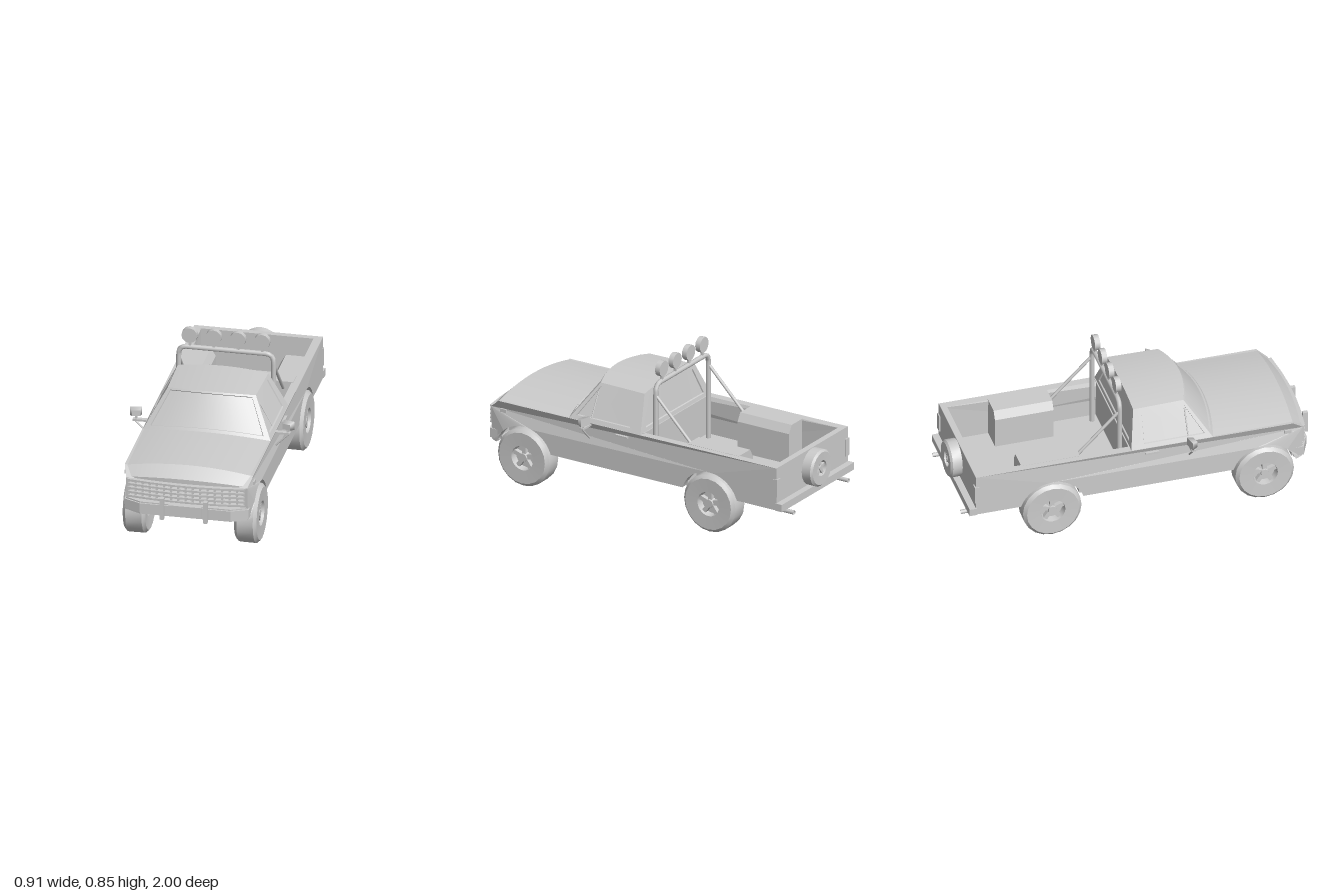
import * as THREE from 'three';
import { toCreasedNormals } from 'three/addons/utils/BufferGeometryUtils.js';

const mat = new THREE.MeshStandardMaterial({ color: 0xcccccc, side: THREE.DoubleSide });
const lerp = THREE.MathUtils.lerp;
const V = (x, y, z) => new THREE.Vector3(x, y, z);
const steps = (a, b, n) => Array.from({ length: n + 1 }, (_, i) => lerp(a, b, i / n));

export function createModel() {
  const model = new THREE.Group();

  const add = (name, geo, parent = model) => {
    const m = new THREE.Mesh(geo, mat);
    m.name = name;
    parent.add(m);
    return m;
  };
  // Box given by its limits on each axis
  const box = (name, x0, x1, y0, y1, z0, z1) =>
    add(name, new THREE.BoxGeometry(Math.abs(x1 - x0), y1 - y0, z1 - z0)
      .translate((x0 + x1) / 2, (y0 + y1) / 2, (z0 + z1) / 2));
  const rod = (name, pts, r) => {
    const path = new THREE.CurvePath();
    for (let i = 1; i < pts.length; i++) path.add(new THREE.LineCurve3(pts[i - 1], pts[i]));
    return add(name, new THREE.TubeGeometry(path, 8 * (pts.length - 1), r, 8));
  };
  // Surface from a rule fn(u, v) sampled at the given stops
  const patch = (name, fn, us, vs) => {
    const pos = [], idx = [], n = us.length;
    for (const v of vs) for (const u of us) pos.push(...fn(u, v));
    for (let j = 0; j < vs.length - 1; j++) for (let i = 0; i < n - 1; i++) {
      const a = j * n + i, b = a + n;
      idx.push(a, a + 1, b, a + 1, b + 1, b);
    }
    const g = new THREE.BufferGeometry();
    g.setAttribute('position', new THREE.Float32BufferAttribute(pos, 3));
    g.setIndex(idx);
    return add(name, toCreasedNormals(g, 0.3));
  };
  // Cab panel with a sunken window; fn(u, v, depth)
  const windowed = (name, fn, n, u0, u1, v0, v1) => {
    const e = 0.012, us = [-1, u0, ...steps(u0 + e, u1 - e, n), u1, 1], vs = [0, v0, v0 + e, v1 - e, v1, 1];
    patch(name, (u, v) => fn(u, v, u > u0 && u < u1 && v > v0 && v < v1 ? 0.007 : 0), us, vs);
  };
  // Plan outline (x, z) raised from y0 to y1
  const plan = (name, pts, y0, y1) => add(name,
    new THREE.ExtrudeGeometry(new THREE.Shape(pts.map(p => new THREE.Vector2(...p))),
      { depth: y1 - y0, bevelEnabled: false }).rotateX(Math.PI / 2).translate(0, y1, 0));

  // Body sides with wheel arches, tapering in at the nose
  const AXLES = [-0.505, 0.69];
  const side = new THREE.Shape();
  side.moveTo(-0.93, 0.465);
  side.lineTo(-0.93, 0.22);
  for (const z of AXLES) side.absarc(z, 0.16, 0.185, Math.PI - 0.33, 0.33, true);
  [[0.9, 0.22], [0.91, 0.41], [0.85, 0.46]].forEach(p => side.lineTo(...p));
  const sideGeo = new THREE.ExtrudeGeometry(side, { depth: 0.045, bevelEnabled: false, curveSegments: 18 })
    .rotateY(-Math.PI / 2);
  for (const s of [1, -1]) {
    const g = sideGeo.clone().translate(s > 0 ? 0.355 : -0.31, 0, 0);
    const p = g.attributes.position;
    for (let i = 0; i < p.count; i++)
      if (p.getZ(i) > 0.88) p.setX(i, p.getX(i) - s * (p.getZ(i) - 0.84) * 0.3);
    g.computeVertexNormals();
    add('bodySide', g);
  }

  // Floor pan notched around the wheels
  const half = [[0.32, -0.92]];
  for (const z of AXLES) half.push([0.32, z - 0.16], [0.235, z - 0.16], [0.235, z + 0.16], [0.32, z + 0.16]);
  half.push([0.31, 0.9]);
  plan('floor', [...half, ...half.map(([x, z]) => [-x, z]).reverse()], 0.22, 0.245);

  // Cargo bed: tailgate, bulkhead, wheel wells level with the rails
  box('tailgate', -0.355, 0.355, 0.22, 0.465, -0.935, -0.9);
  box('bulkhead', -0.33, 0.33, 0.23, 0.465, -0.065, -0.045);
  for (const s of [1, -1]) {
    const well = [[0.32, 0.465], [0.207, 0.465], [0.18, 0.42], [0.18, 0.24], [0.235, 0.24], [0.235, 0.36], [0.32, 0.36]];
    add('wheelWell', new THREE.ExtrudeGeometry(
      new THREE.Shape(well.map(([x, y]) => new THREE.Vector2(s * x, y))),
      { depth: 0.33, bevelEnabled: false }).translate(0, 0, -0.67));
    for (const z of [-0.67, -0.345]) box('wheelWellEnd', s * 0.2, s * 0.32, 0.235, 0.365, z, z + 0.005);
    box('frontWheelLiner', s * 0.23, s * 0.235, 0.22, 0.45, 0.515, 0.865);
  }

  // Crowned hood rolling down into the nose: [half width, edge y, crown, z, bow]
  const hood = [[0.353, 0.46, 0.04, 0.38, 0], [0.353, 0.457, 0.037, 0.85, 0.012],
    [0.333, 0.412, 0.023, 0.9, 0.025], [0.333, 0.3, 0, 0.9, 0.025], [0.333, 0.22, 0, 0.89, 0.025]];
  patch('hoodAndNose', (u, v) => {
    const [w, y, c, z, b] = hood[v];
    const k = 1 - u * u;
    return [w * u, y + c * k, z + b * k];
  }, steps(-1, 1, 12), [0, 1, 2, 3, 4]);

  // Cab
  const screen = (u, v, d) => {
    const k = 1 - u * u;
    return [lerp(0.353, 0.243, v) * u, lerp(0.46 + 0.04 * k, 0.66 + 0.02 * k, v) - d / 2,
      lerp(0.4, 0.265, v) + 0.048 * k - d];
  };
  const back = (u, v, d) => [lerp(0.353, 0.25, v) * u, lerp(0.46, 0.66 + 0.02 * (1 - u * u), v),
    lerp(-0.06, -0.02, v) + d];
  windowed('windshield', screen, 12, -0.91, 0.91, 0.08, 0.95);
  windowed('cabBack', back, 12, -0.85, 0.85, 0.12, 0.88);
  patch('roof', (u, v) => {
    const k = 1 - u * u;
    return [lerp(0.243, 0.25, v) * u, 0.66 + 0.02 * k, lerp(0.265 + 0.048 * k, -0.02, v)];
  }, steps(-1, 1, 12), [0, 1]);
  for (const s of [1, -1]) {
    const door = (u, v, d) => {
      const t = (u + 1) / 2;
      return [s * (lerp(0.353, lerp(0.25, 0.243, t), v) - d), lerp(0.46, 0.66, v),
        lerp(lerp(-0.06, -0.02, v), lerp(0.4, 0.265, v), t)];
    };
    windowed('cabSide', door, 1, -0.68, 0.88, 0.12, 0.92);
    rod('windowDivider', [V(s * 0.335, 0.483, 0.265), V(s * 0.262, 0.62, 0.265)], 0.004);
    box('doorHandle', s * 0.35, s * 0.364, 0.425, 0.436, 0.02, 0.095);
    box('sideMarker', s * 0.35, s * 0.358, 0.4, 0.42, 0.8, 0.84);

    // Wing mirror on a braced arm
    box('mirrorArm', s * 0.35, s * 0.435, 0.447, 0.458, 0.255, 0.28);
    rod('mirrorBrace', [V(s * 0.353, 0.375, 0.267), V(s * 0.43, 0.452, 0.267)], 0.005);
    box('mirrorStem', s * 0.412, s * 0.424, 0.455, 0.475, 0.26, 0.272);
    const head = add('mirrorHead', new THREE.CylinderGeometry(0.032, 0.046, 0.035, 4, 1)
      .rotateY(Math.PI / 4).rotateX(Math.PI / 2).scale(1, 0.72, 1));
    head.position.set(s * 0.419, 0.494, 0.265);
    head.rotation.y = -s * 0.25;
  }

  // Grille following the bow of the nose
  const bow = x => 0.926 - 0.25 * x * x;
  const strip = [1, -1].flatMap(k => [-1, -0.6, -0.2, 0.2, 0.6, 1].map(t => {
    const x = k * t * 0.322;
    return [x, bow(x) + (k > 0 ? 0.026 : -0.01)];
  }));
  for (let i = 0; i < 5; i++) plan('grilleBar', strip, 0.308 + i * 0.0235, 0.316 + i * 0.0235);
  for (let i = -8; i <= 8; i++) {
    const x = i * 0.04;
    box('grilleUpright', x - 0.005, x + 0.005, 0.31, 0.408, bow(x) - 0.01, bow(x) + 0.02);
  }

  // Front bumper with plate and guards
  const edge = (o) => [[-0.337 - o, 0.86], [-0.335 - o, 0.905 + o], [-0.25, 0.947 + o], [0.25, 0.947 + o],
    [0.335 + o, 0.905 + o], [0.337 + o, 0.86]];
  plan('frontBumper', edge(0), 0.22, 0.292);
  plan('bumperStrip', edge(0.008), 0.232, 0.285);
  box('frontPlate', -0.092, 0.092, 0.23, 0.295, 0.94, 0.968);
  for (const x of [-0.12, 0.12]) {
    box('bumperGuard', x - 0.011, x + 0.011, 0.22, 0.345, 0.972, 1);
    box('guardBracket', x - 0.01, x + 0.01, 0.23, 0.285, 0.94, 0.975);
  }

  // Rear bumper, tail lights and exhausts
  box('rearBumper', -0.36, 0.36, 0.22, 0.262, -0.972, -0.93);
  for (const s of [1, -1]) {
    box('tailLight', s * 0.325, s * 0.36, 0.3, 0.4, -0.942, -0.915);
    rod('exhaust', [V(s * 0.2, 0.212, -0.77), V(s * 0.27, 0.192, -0.83), V(s * 0.27, 0.192, -0.995)], 0.012);
  }

  // Roll bar with struts and four lamps
  const bar = [];
  for (const s of [-1, 1]) {
    const c = [[0.262, 0.24], [0.262, 0.45], [0.262, 0.68], [0.259, 0.71], [0.248, 0.73], [0.225, 0.737]];
    bar.push(...(s < 0 ? c : c.reverse()).map(([x, y]) => V(s * x, y, -0.1)));
  }
  rod('rollBar', bar, 0.014);
  for (const s of [-1, 1]) rod('rollBarStrut', [V(s * 0.262, 0.675, -0.1), V(s * 0.262, 0.42, -0.35)], 0.009);
  for (const x of [-0.2, -0.067, 0.067, 0.2]) {
    box('lampStem', x - 0.007, x + 0.007, 0.74, 0.775, -0.107, -0.093);
    add('lamp', new THREE.CylinderGeometry(0.044, 0.044, 0.03, 12).rotateX(Math.PI / 2).translate(x, 0.81, -0.098));
  }

  // Wheels: tyre, dished rim, hub and five spokes, axis along x
  const wheel = (name) => {
    const g = new THREE.Group();
    g.name = name;
    const prof = [[0.064, -0.02], [0.07, -0.055], [0.147, -0.0625], [0.164, -0.045],
      [0.165, 0.045], [0.147, 0.0625], [0.07, 0.06], [0.064, 0.02]];
    const tyre = new THREE.LatheGeometry(prof.map(p => new THREE.Vector2(...p)), 20).rotateZ(-Math.PI / 2);
    add('tyre', toCreasedNormals(tyre, 0.45), g);
    add('rim', new THREE.CylinderGeometry(0.068, 0.068, 0.04, 20).rotateZ(Math.PI / 2), g);
    add('hub', new THREE.CylinderGeometry(0.022, 0.03, 0.035, 12).rotateZ(-Math.PI / 2).translate(0.035, 0, 0), g);
    for (let i = 0; i < 5; i++)
      add('spoke', new THREE.BoxGeometry(0.026, 0.05, 0.024).translate(0.032, 0.042, 0).rotateX(i * Math.PI * 0.4), g);
    model.add(g);
    return g;
  };
  for (const z of AXLES) {
    for (const s of [1, -1]) {
      const w = wheel(z > 0 ? 'frontWheel' : 'rearWheel');
      w.position.set(s * 0.307, 0.165, z);
      if (s < 0) w.rotation.y = Math.PI;
    }
    // Axle beam with a deeper middle
    const beam = [[-0.29, 0.15], [-0.13, 0.154], [0, 0.133], [0.13, 0.154], [0.29, 0.15],
      [0.29, 0.19], [0.17, 0.215], [0, 0.222], [-0.17, 0.215], [-0.29, 0.19]];
    add('axle', new THREE.ExtrudeGeometry(new THREE.Shape(beam.map(p => new THREE.Vector2(...p))),
      { depth: 0.07, bevelEnabled: false }).translate(0, 0, z - 0.035));
  }
  const spare = wheel('spareWheel');
  spare.scale.setScalar(0.636);
  spare.rotation.y = Math.PI / 2;
  spare.position.set(0, 0.358, -0.96);

  return model;
}
